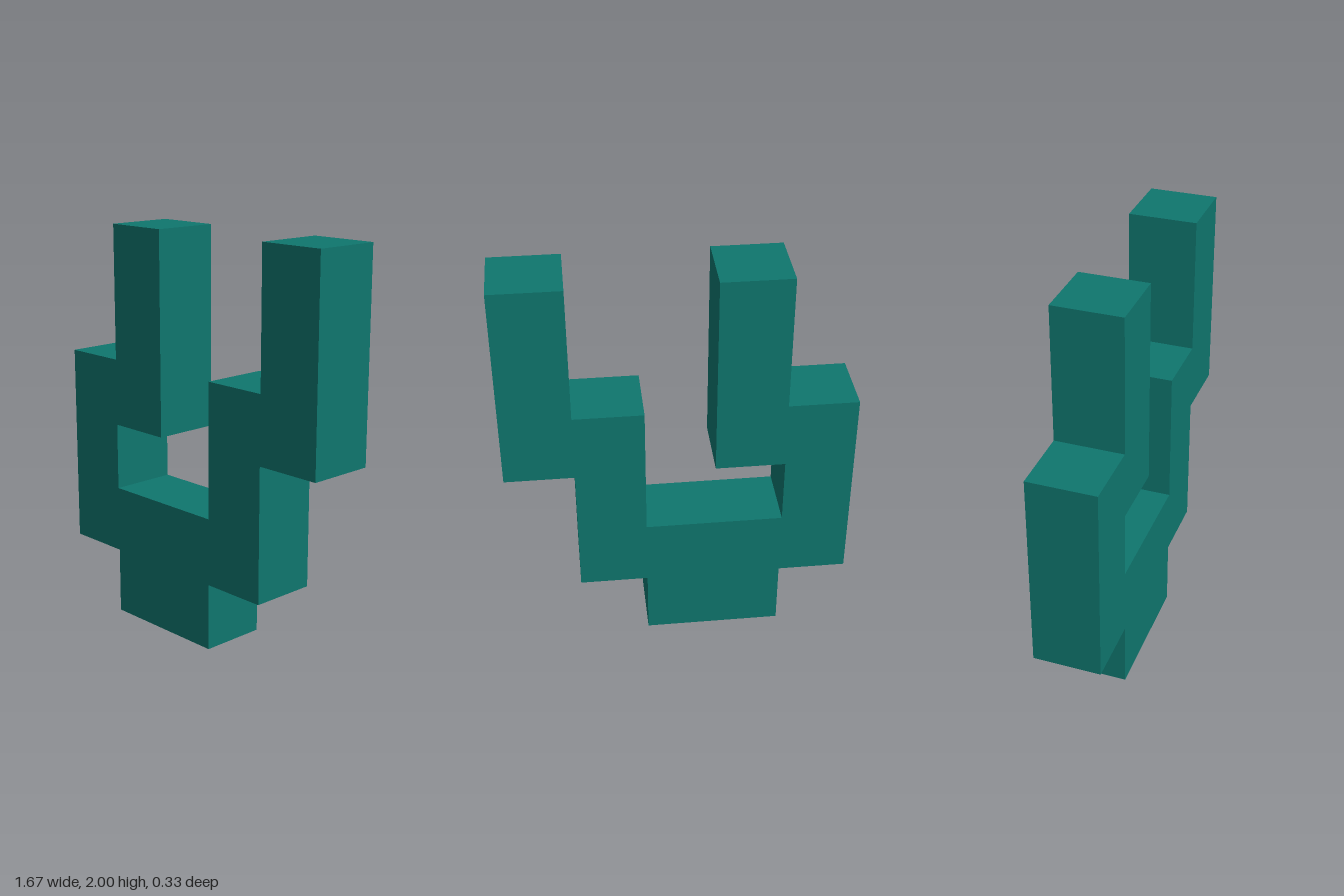
import * as THREE from 'three';

const U = 1 / 3; // one block of the grid the shape is laid out on

export function createModel() {
  const group = new THREE.Group();
  group.name = 'branchingBlock';

  const teal = new THREE.MeshStandardMaterial({ color: 0x0f766e });
  teal.name = 'teal';

  // Stepped outline in blocks, counter-clockwise from the foot
  const outline = [
    [-1.5, 0], [0.5, 0], [0.5, 1],                                   // foot
    [1.5, 1], [1.5, 3], [2.5, 3], [2.5, 6], [1.5, 6], [1.5, 4], [0.5, 4], // left branch
    [0.5, 2], [-1.5, 2],                                             // crossbar top
    [-1.5, 3], [-0.5, 3], [-0.5, 6], [-1.5, 6], [-1.5, 4], [-2.5, 4], // right branch
    [-2.5, 1], [-1.5, 1],
  ].map(([x, y]) => new THREE.Vector2(x * U, y * U));

  // One block thick, centred on z
  const geometry = new THREE.ExtrudeGeometry(new THREE.Shape(outline), {
    depth: U, bevelEnabled: false,
  });
  geometry.translate(0, 0, -U / 2);

  const body = new THREE.Mesh(geometry, teal);
  body.name = 'forkedBody';
  group.add(body);
  return group;
}
